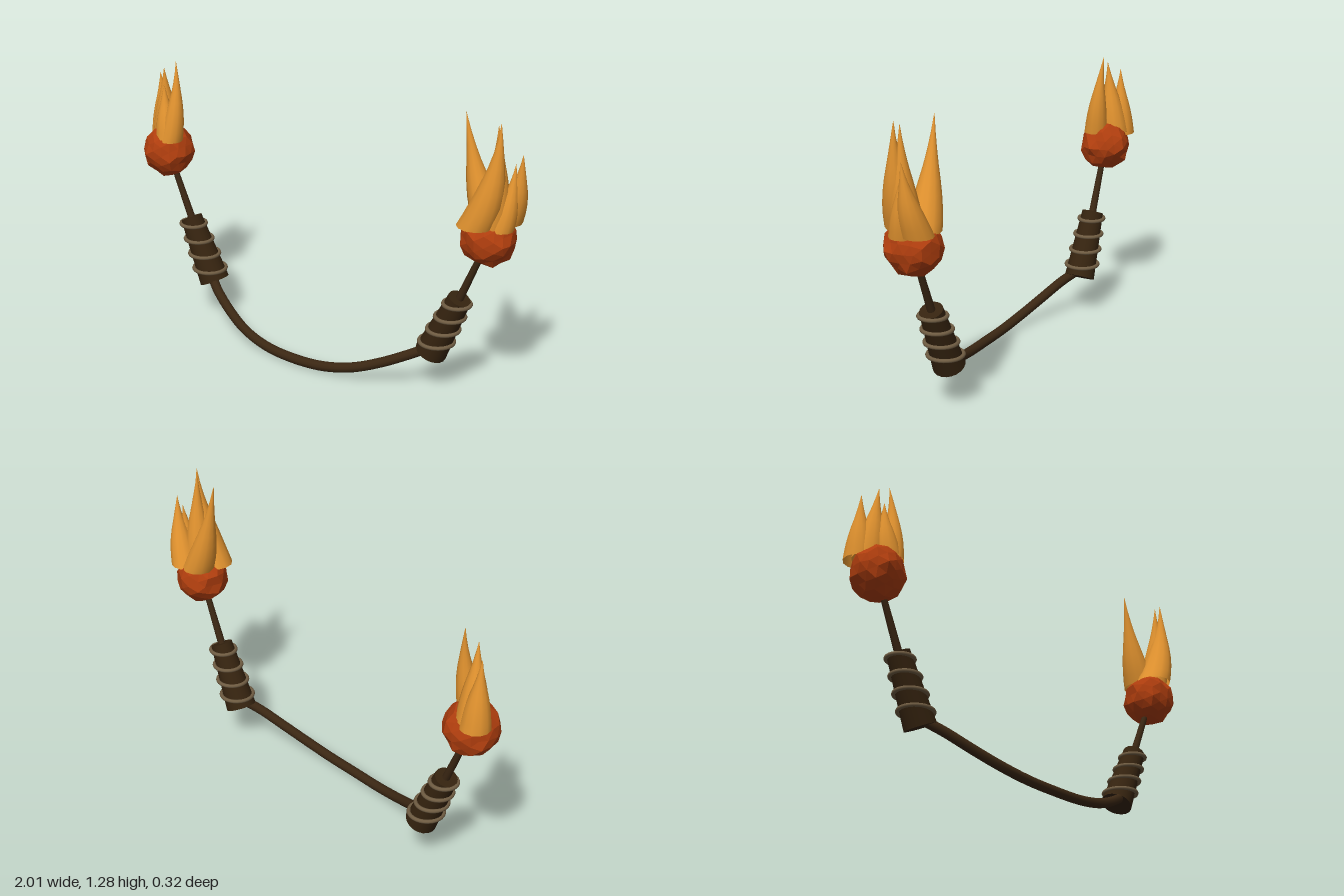
import * as THREE from 'three';

const V = (x, y, z) => new THREE.Vector3(x, y, z);
const mat = (name, color, opts = {}) => {
  const m = new THREE.MeshStandardMaterial({ color, ...opts });
  m.name = name;
  return m;
};

// cylinder running between two points
function rod(a, b, ra, rb, sides) {
  const g = new THREE.CylinderGeometry(rb, ra, a.distanceTo(b), sides);
  const dir = b.clone().sub(a).normalize();
  g.applyQuaternion(new THREE.Quaternion().setFromUnitVectors(V(0, 1, 0), dir));
  const mid = a.clone().add(b).multiplyScalar(0.5);
  return g.translate(mid.x, mid.y, mid.z);
}

// curved tapering tongue: horizontal rings swept from base to tip
function flameGeometry(base, tip, bend, radius) {
  const sides = 12;
  const mid = base.clone().lerp(tip, 0.5).add(bend);
  const curve = new THREE.QuadraticBezierCurve3(base, mid, tip);
  const profile = [1, 0.93, 0.84, 0.72, 0.57, 0.4, 0.25, 0.12, 0.01];
  const pos = [], index = [];
  profile.forEach((k, i) => {
    const c = curve.getPoint(i / (profile.length - 1));
    for (let j = 0; j < sides; j++) {
      const a = (j / sides) * Math.PI * 2;
      pos.push(c.x + Math.cos(a) * radius * k, c.y, c.z - Math.sin(a) * radius * k);
      if (i === 0) continue;
      const n = (j + 1) % sides, p = (i - 1) * sides, q = i * sides;
      index.push(p + j, p + n, q + n, p + j, q + n, q + j);
    }
  });
  const g = new THREE.BufferGeometry();
  g.setAttribute('position', new THREE.Float32BufferAttribute(pos, 3));
  g.setIndex(index);
  g.computeVertexNormals();
  return g;
}

// lumpy faceted ball; equal corners get equal offsets so it stays closed
function emberGeometry(r, seed) {
  const g = new THREE.IcosahedronGeometry(r, 2);
  const p = g.attributes.position, v = V(0, 0, 0);
  for (let i = 0; i < p.count; i++) {
    v.fromBufferAttribute(p, i);
    const key = Math.round(v.x * 1e3) * 12.99 + Math.round(v.y * 1e3) * 78.23 + Math.round(v.z * 1e3) * 37.72;
    const n = Math.sin(key + seed) * 43.7;
    v.multiplyScalar(0.9 + 0.14 * (n - Math.floor(n)));
    p.setXYZ(i, v.x, v.y, v.z);
  }
  g.computeVertexNormals();
  return g;
}

export function createModel() {
  const model = new THREE.Group();
  model.name = 'twinTorchRope';
  const wood = mat('dark brown', 0x3b2713);
  const grip = mat('grip brown', 0x35230f);
  const cord = mat('tan cord', 0x6f5c42);
  const ember = mat('ember red', 0xb03e0e, { flatShading: true });
  const fire = mat('flame orange', 0xe2932f, { side: THREE.DoubleSide });
  const add = (parent, name, geo, m) => {
    const mesh = new THREE.Mesh(geo, m);
    mesh.name = name;
    parent.add(mesh);
    return mesh;
  };

  // hanging rope between the two grips
  const half = [[0.62, 0.21, -0.03], [0.54, 0.168, 0.02], [0.42, 0.11, 0.07], [0.3, 0.065, 0.107], [0.16, 0.036, 0.13]];
  const path = [
    ...half.map(([x, y, z]) => V(-x, y, z)),
    V(0, 0.028, 0.138),
    ...half.slice().reverse().map(([x, y, z]) => V(x, y, z)),
  ];
  add(model, 'rope', new THREE.TubeGeometry(new THREE.CatmullRomCurve3(path), 48, 0.022, 10), wood);

  // flames: base, tip, bend of the middle, base radius
  const flames = {
    left: [
      [[0.84, 0.84, 0.015], [0.93, 1.285, 0], [0.05, -0.02, 0], 0.08],
      [[0.85, 0.84, -0.075], [0.73, 1.28, -0.06], [-0.01, -0.06, 0], 0.075],
      [[0.92, 0.84, -0.095], [0.995, 1.15, -0.07], [0.03, 0, 0], 0.065],
      [[0.93, 0.83, -0.03], [0.97, 1.11, -0.06], [0.02, 0, 0], 0.055],
      [[0.89, 0.84, -0.03], [0.91, 1.27, -0.015], [0.02, 0, 0], 0.07],
    ],
    right: [
      [[-0.83, 0.84, -0.01], [-0.82, 1.21, -0.05], [0.03, 0, 0], 0.055],
      [[-0.9, 0.84, -0.07], [-0.885, 1.17, -0.04], [0, 0, 0], 0.07],
      [[-0.935, 0.825, -0.09], [-0.945, 1.13, -0.08], [0, 0, 0], 0.065],
      [[-0.845, 0.85, -0.015], [-0.87, 1.1, -0.02], [-0.01, 0, 0], 0.06],
    ],
  };

  for (const [side, s] of [['left', 1], ['right', -1]]) {
    const torch = new THREE.Group();
    torch.name = side + 'Torch';
    model.add(torch);
    const z = -0.04;
    const bottom = V(s * 0.61, 0.18, z), top = V(s * 0.745, 0.467, z);

    // grip, thin shaft and level cord loops
    add(torch, 'grip', rod(bottom, top, 0.07, 0.05, 20), grip);
    add(torch, 'shaft', rod(V(s * 0.73, 0.435, z), V(s * 0.85, 0.715, z), 0.018, 0.013, 10), wood);
    [0.238, 0.305, 0.372, 0.44].forEach((y, i) => {
      const ring = add(torch, 'cordLoop', new THREE.TorusGeometry(0.075 - i * 0.0055, 0.009, 8, 28), cord);
      ring.rotation.x = Math.PI / 2;
      ring.position.set(s * (0.61 + (y - 0.18) * 0.47), y, z);
    });

    // glowing head and its flames
    add(torch, 'emberHead', emberGeometry(0.121, s), ember).position.set(s * 0.87, 0.775, z);
    for (const [base, tip, bend, r] of flames[side])
      add(torch, 'flame', flameGeometry(V(...base), V(...tip), V(...bend), r), fire);
  }
  return model;
}
